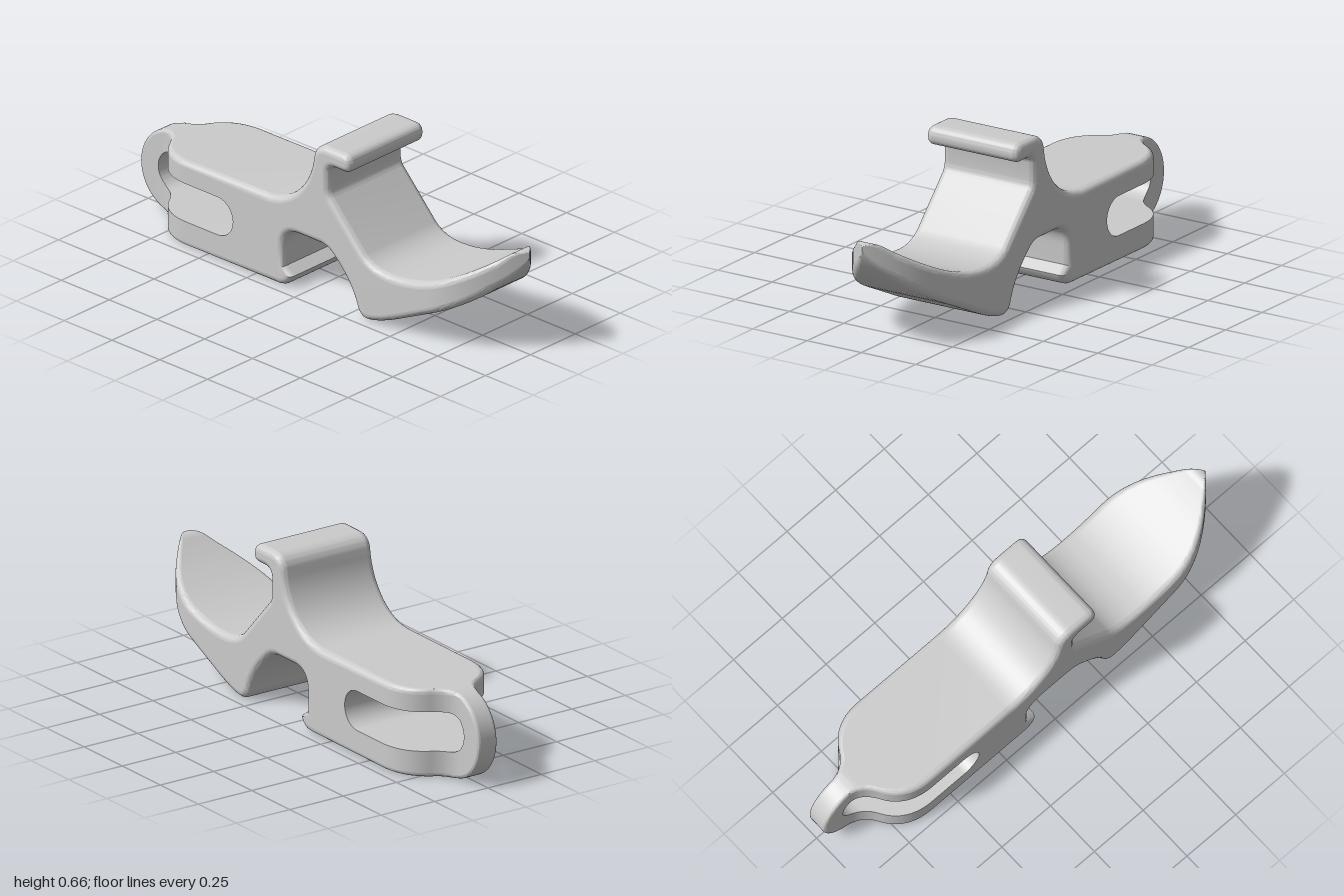
import * as THREE from 'three';
import { toCreasedNormals, mergeGeometries } from 'three/addons/utils/BufferGeometryUtils.js';

const HALF = 0.213;   // half width of the body
const BEVEL = 0.027;  // edge rounding
const STEPS = 6;

// Side profile, counter-clockwise
function profile() {
  const s = new THREE.Shape();
  s.absarc(-0.823, 0.178, 0.178, Math.PI / 2, Math.PI * 1.5, false); // rounded tail
  s.lineTo(-0.13, 0);
  s.quadraticCurveTo(-0.075, 0, -0.057, 0.05);                       // opener lip
  s.lineTo(-0.1, 0.08);
  s.lineTo(-0.1, 0.16);
  s.quadraticCurveTo(-0.1, 0.243, -0.02, 0.243);                     // opener notch
  s.lineTo(0.09, 0.243);
  s.quadraticCurveTo(0.13, 0.243, 0.16, 0.215);
  s.quadraticCurveTo(0.25, 0.135, 0.28, 0.05);
  s.quadraticCurveTo(0.295, 0, 0.335, 0);                            // heel
  s.quadraticCurveTo(0.38, 0, 0.49, 0.05);
  s.lineTo(0.65, 0.125);
  s.bezierCurveTo(0.83, 0.205, 0.95, 0.29, 0.997, 0.41);             // underside of beak
  s.quadraticCurveTo(1.0, 0.433, 0.97, 0.433);
  s.quadraticCurveTo(0.95, 0.432, 0.93, 0.415);
  s.bezierCurveTo(0.79, 0.305, 0.6, 0.228, 0.46, 0.228);             // top of beak
  s.quadraticCurveTo(0.37, 0.225, 0.32, 0.27);
  s.lineTo(0.15, 0.45);
  s.quadraticCurveTo(0.136, 0.465, 0.136, 0.49);
  s.lineTo(0.136, 0.55);
  s.quadraticCurveTo(0.136, 0.585, 0.174, 0.585);                    // hook
  s.lineTo(0.215, 0.585);
  s.quadraticCurveTo(0.25, 0.585, 0.25, 0.62);
  s.quadraticCurveTo(0.25, 0.66, 0.21, 0.66);
  s.lineTo(0.13, 0.66);
  s.quadraticCurveTo(0.065, 0.66, 0.055, 0.6);
  s.bezierCurveTo(0.04, 0.47, -0.06, 0.36, -0.2, 0.36);              // back of hook
  s.lineTo(-0.823, 0.356);
  return openLoop(s.getPoints(14));
}

// Slot through the tail, clockwise
function slot() {
  const s = new THREE.Path();
  s.absarc(-0.825, 0.187, 0.08, Math.PI * 1.5, Math.PI / 2, true);
  s.absarc(-0.437, 0.187, 0.08, Math.PI / 2, -Math.PI / 2, true);
  return openLoop(s.getPoints(12));
}

function openLoop(pts) {
  if (pts[0].distanceTo(pts[pts.length - 1]) < 1e-5) pts.pop();
  return pts;
}

// Plan outline: half width along x
function planOutline() {
  const p = new THREE.Path();
  p.moveTo(-1.1, 0.045);
  p.lineTo(-0.88, 0.045);
  p.quadraticCurveTo(-0.815, 0.05, -0.775, 0.125);
  p.quadraticCurveTo(-0.72, 0.21, -0.607, HALF);
  p.lineTo(0.65, HALF);
  p.bezierCurveTo(0.8, HALF, 0.92, 0.1, 0.996, 0);
  return p.getPoints(14);
}
const plan = planOutline();

function halfWidth(x) {
  for (let i = 1; i < plan.length; i++) {
    const a = plan[i - 1], b = plan[i];
    if (x <= b.x) return a.y + (b.y - a.y) * (x - a.x) / (b.x - a.x);
  }
  return 0;
}
const fade = x => Math.min(1, halfWidth(x) / 0.1);

// Move a loop inwards, less where the body is thin
function inset(loop, dist) {
  const n = loop.length;
  return loop.map((p, i) => {
    const d1 = p.clone().sub(loop[(i + n - 1) % n]).normalize();
    const d2 = loop[(i + 1) % n].clone().sub(p).normalize();
    const k = dist * fade(p.x) / Math.max(0.4, 1 + d1.dot(d2));
    return new THREE.Vector2(p.x - (d1.y + d2.y) * k, p.y + (d1.x + d2.x) * k);
  });
}

// Triangles joining two loops at depths z0 < z1
function band(out, l0, z0, l1, z1) {
  const n = l0.length, v = (p, z) => new THREE.Vector3(p.x, p.y, z);
  for (let i = 0; i < n; i++) {
    const j = (i + 1) % n;
    const a = v(l0[i], z0), b = v(l0[j], z0), c = v(l1[j], z1), d = v(l1[i], z1);
    out.push([a, b, c], [a, c, d]);
  }
}

// Cut triangles along the plane at x so the plan outline can bend them
function slice(tris, x) {
  const out = [];
  const side = p => (Math.abs(p.x - x) < 1e-6 ? 0 : Math.sign(p.x - x));
  for (const t of tris) {
    const s = t.map(side);
    if (Math.min(...s) >= 0 || Math.max(...s) <= 0) { out.push(t); continue; }
    for (const keep of [-1, 1]) {
      const poly = [];
      for (let i = 0; i < 3; i++) {
        const j = (i + 1) % 3;
        if (s[i] === keep || s[i] === 0) poly.push(t[i]);
        if (s[i] * s[j] < 0) {
          // cut from the lower-x end so neighbours agree
          const [a, b] = s[i] < 0 ? [t[i], t[j]] : [t[j], t[i]];
          poly.push(a.clone().lerp(b, (x - a.x) / (b.x - a.x)));
        }
      }
      for (let i = 2; i < poly.length; i++) out.push([poly[0], poly[i - 1], poly[i]]);
    }
  }
  return out;
}

// Slice, bend to the plan outline and smooth
function surface(tris) {
  for (const p of plan) tris = slice(tris, p.x);
  const pos = [];
  for (const t of tris) for (const p of t) {
    const depth = HALF - Math.abs(p.z);
    pos.push(p.x, p.y, Math.sign(p.z) * (halfWidth(p.x) - depth * fade(p.x)));
  }
  const g = new THREE.BufferGeometry();
  g.setAttribute('position', new THREE.Float32BufferAttribute(pos, 3));
  return toCreasedNormals(g, 0.6);
}

export function createModel() {
  const outer = profile(), hole = slot();
  const walls = [], bevels = [], caps = [], slotWall = [];

  // Walls and rounded edges
  band(walls, outer, -HALF + BEVEL, outer, HALF - BEVEL);
  const rings = [];
  for (let i = 0; i <= STEPS; i++) {
    const a = (i / STEPS) * Math.PI / 2;
    rings.push({
      loop: i ? inset(outer, BEVEL * (1 - Math.cos(a))) : outer,
      z: HALF - BEVEL * (1 - Math.sin(a)),
    });
  }
  for (let i = 0; i < STEPS; i++) {
    const a = rings[i], b = rings[i + 1];
    band(bevels, a.loop, a.z, b.loop, b.z);
    band(bevels, b.loop, -b.z, a.loop, -a.z);
  }

  // Flat sides, with the slot left open
  const rim = rings[STEPS].loop;
  const faces = THREE.ShapeUtils.triangulateShape(rim, [hole]);
  const pts = [...rim, ...hole];
  for (const f of faces) {
    let [a, b, c] = f.map(i => pts[i]);
    if ((b.x - a.x) * (c.y - a.y) - (b.y - a.y) * (c.x - a.x) < 0) [b, c] = [c, b];
    const at = z => [a, b, c].map(p => new THREE.Vector3(p.x, p.y, z));
    caps.push(at(HALF), at(-HALF).reverse());
  }
  band(slotWall, hole, -HALF, hole, HALF);

  const material = new THREE.MeshStandardMaterial({ color: 0xcccccc });
  const group = new THREE.Group();
  const body = new THREE.Mesh(mergeGeometries([walls, bevels, caps].map(surface)), material);
  body.name = 'body';
  const slotMesh = new THREE.Mesh(surface(slotWall), material);
  slotMesh.name = 'slotWall';
  group.add(body, slotMesh);
  return group;
}
